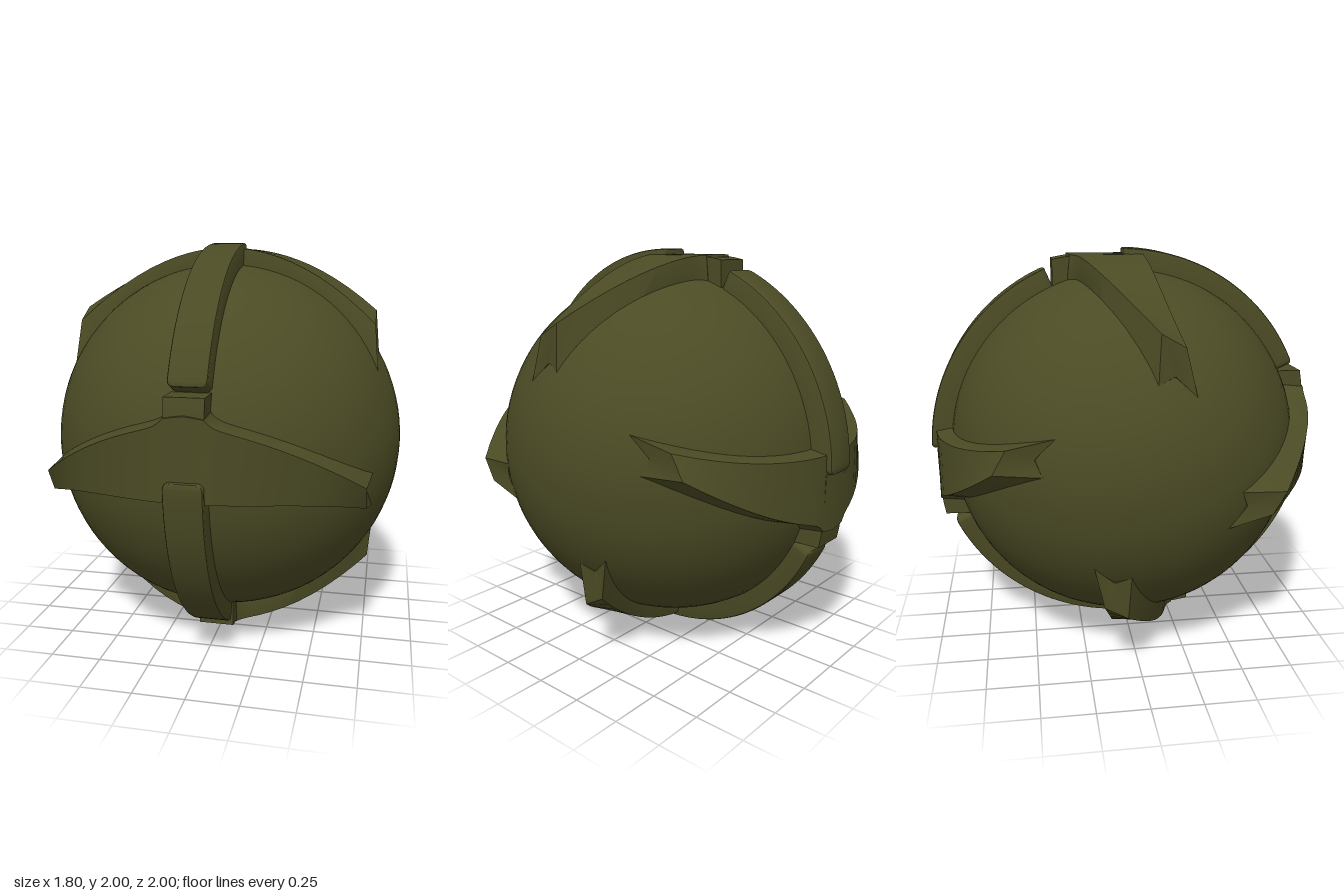
import * as THREE from 'three';
import { toCreasedNormals } from 'three/addons/utils/BufferGeometryUtils.js';

const R = 0.9;

// Closed solid through equal-length rings of [x, y, z] points, capped at both ends.
function loft(rings) {
  const n = rings[0].length;
  const pos = rings.flat();
  const idx = [];
  for (let i = 0; i < rings.length - 1; i++) {
    for (let j = 0; j < n; j++) {
      const a = i * n + j, b = i * n + ((j + 1) % n);
      idx.push(a, b, a + n, b, b + n, a + n);
    }
  }
  [[0, true], [(rings.length - 1) * n, false]].forEach(([start, first]) => {
    const c = [0, 1, 2].map(k => pos.slice(start, start + n).reduce((s, p) => s + p[k], 0) / n);
    const ci = pos.push(c) - 1;
    for (let j = 0; j < n; j++) {
      const a = start + j, b = start + ((j + 1) % n);
      if (first) idx.push(b, a, ci);
      else idx.push(a, b, ci);
    }
  });
  // Turn the faces outward if the enclosed volume is negative.
  const v = pos.map(p => new THREE.Vector3(...p));
  let volume = 0;
  for (let i = 0; i < idx.length; i += 3) {
    volume += v[idx[i]].dot(v[idx[i + 1]].clone().cross(v[idx[i + 2]]));
  }
  if (volume < 0) idx.reverse();
  const g = new THREE.BufferGeometry();
  g.setAttribute('position', new THREE.Float32BufferAttribute(pos.flat(), 3));
  g.setIndex(idx);
  return toCreasedNormals(g, 0.5);
}

// Swept pair of arms, tapering to slanted tips.
function armsGeometry() {
  const half = [0, 0.05, 0.09, 0.1, 0.115, 0.135, 0.16, 0.2, 0.26, 0.33, 0.4, 0.47, 0.54, 0.61, 0.68, 0.755];
  const xs = [...half.slice(1).reverse().map(x => -x), ...half];
  return loft(xs.map(x => {
    const a = Math.abs(x);
    const fillet = 0.035 * Math.exp(-Math.max(0, a - 0.09) * 35);
    const upper = 0.25 - 0.11 * a - 0.415 * a * a + fillet;
    const lower = -0.095 - 0.2 * a ** 3;
    const z = 0.975 - 0.53 * a * a;
    const foot = (y, depth) => {
      const bx = x * 1.027;
      return [bx * depth, y * depth, Math.sqrt(R * R - bx * bx - y * y) * depth];
    };
    const upperFoot = upper + 0.013, lowerFoot = -0.11 - 0.28 * a ** 3;
    return [
      foot(upperFoot, 1), [x, upper, z], [x, lower, z - 0.11 * a * a],
      foot(lowerFoot, 1), foot(lowerFoot, 0.93), foot(upperFoot, 0.93),
    ];
  }));
}

// Short upright between the arms and the next band.
function stemGeometry() {
  return loft([-0.09, 0.09].map(x => [
    [x, 0, 0.8], [x, 0, 0.972], [x, 0.2, 0.97], [x, 0.3, 0.96], [x, 0.36, 0.949], [x, 0.36, 0.8],
  ]));
}

// Curved band hugging the sphere, with bevelled edges and rounded corners.
function bandGeometry() {
  const length = THREE.MathUtils.degToRad(66.3), corner = 0.03;
  const stops = [0, 0.002, 0.006, 0.012, 0.02, corner];
  const ts = [...stops];
  for (let i = 1; i < 28; i++) ts.push(corner + (length - 2 * corner) * i / 28);
  ts.push(...stops.map(s => length - s).reverse());
  return loft(ts.map(t => {
    const k = Math.max(0, 1 - Math.min(t, length - t) / corner);
    const round = 1 - Math.sqrt(1 - k * k);
    const w = 0.09 - corner * round;
    const r = 1 - 0.012 * t / length - 0.008 * round;
    const bevel = 0.012;
    return [
      [-w, 0.84], [-w, r - bevel], [-w + 0.004, r - 0.004], [-w + bevel, r],
      [w - bevel, r], [w - 0.004, r - 0.004], [w, r - bevel], [w, 0.84],
    ].map(([x, rad]) => [x, -rad * Math.sin(t), rad * Math.cos(t)]);
  }));
}

export function createModel() {
  const olive = new THREE.MeshStandardMaterial({ color: 0x4b4b25 });
  olive.name = 'olive';
  const model = new THREE.Group();
  model.name = 'ribbedBall';

  const add = (parent, geometry, name) => {
    const mesh = new THREE.Mesh(geometry, olive);
    mesh.name = name;
    parent.add(mesh);
  };

  const ball = new THREE.Group();
  ball.name = 'ball';
  ball.position.y = 1;
  model.add(ball);
  add(ball, new THREE.SphereGeometry(R, 72, 48), 'core');

  // Four identical rib units around the x axis.
  const arms = armsGeometry(), stem = stemGeometry(), band = bandGeometry();
  ['front', 'top', 'back', 'bottom'].forEach((side, i) => {
    const unit = new THREE.Group();
    unit.name = side + 'Rib';
    unit.rotation.x = -i * Math.PI / 2;
    add(unit, arms, side + 'Arms');
    add(unit, stem, side + 'Stem');
    add(unit, band, side + 'Band');
    ball.add(unit);
  });
  return model;
}
